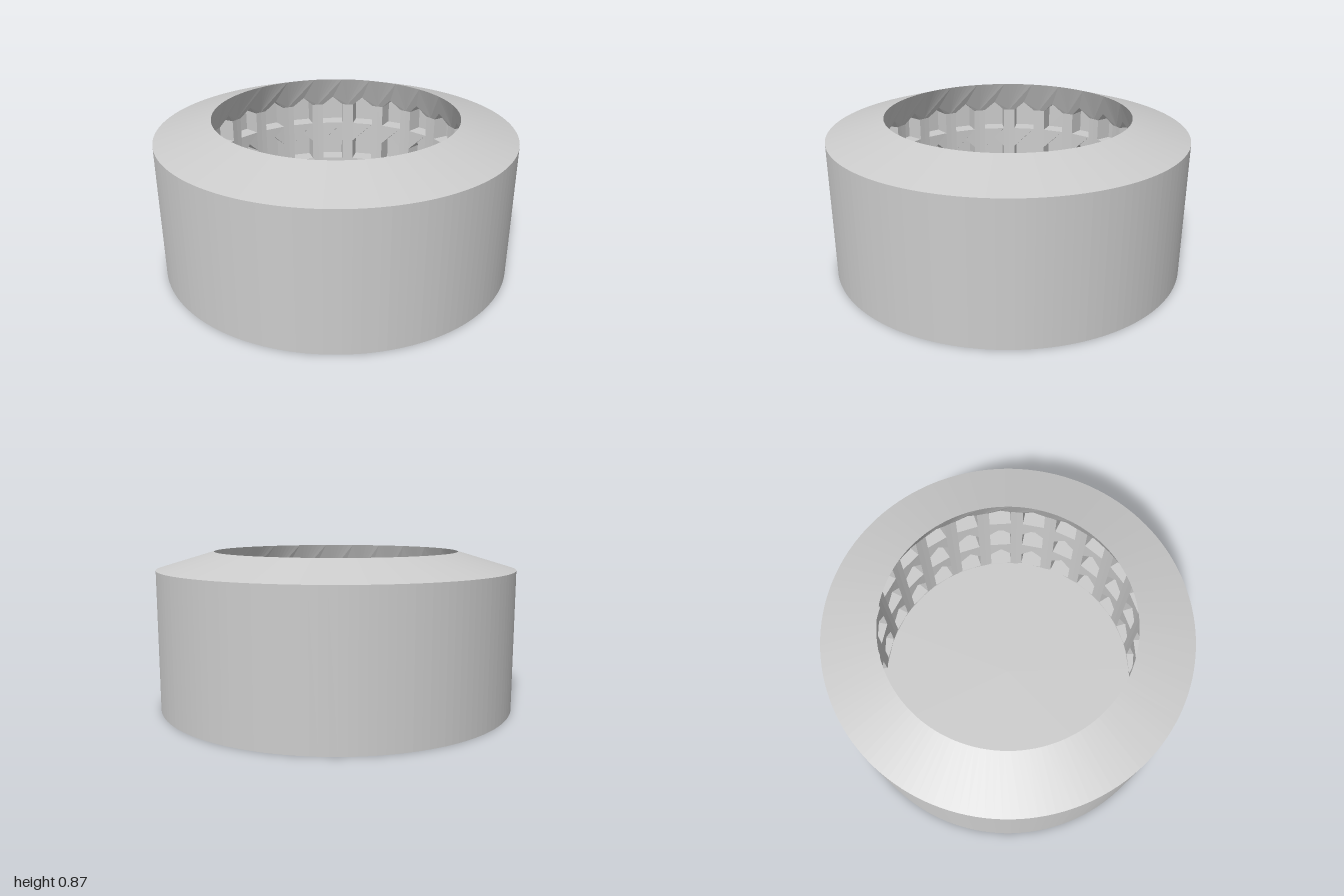
import * as THREE from 'three';

const BAYS = 24, STEP = (Math.PI * 2) / BAYS, SEGMENTS = BAYS * 6;
const FLOOR = 0.02, WALL_TOP = 0.67, SHOULDER_Y = 0.77, TOP = 0.865;
const WALL_R = 0.77, MOUTH_R = 0.685, POCKET_R = 0.87;
const HALF = (WALL_R * STEP) / 2, POCKET_HALF = 0.065;
const SILLS = [0.03, 0.285, 0.54], SIDE_H = 0.13, PEAK_H = 0.19;

const material = new THREE.MeshStandardMaterial({ color: 0xcccccc, flatShading: true, side: THREE.DoubleSide });

// Inner radius: straight wall, then a lip leaning in to the mouth
const innerRadius = (y) =>
  y <= WALL_TOP ? WALL_R : THREE.MathUtils.mapLinear(y, WALL_TOP, TOP, WALL_R, MOUTH_R);

// Wraps a flat (u, y) point onto the inner surface, mirrored so faces look inward
function wrap(u, y) {
  const a = -u / WALL_R, r = innerRadius(y);
  return new THREE.Vector3(r * Math.sin(a), y, r * Math.cos(a));
}

// Pointed-arch outline of one pocket
const pocketOutline = (sill) => [
  [-POCKET_HALF, sill], [POCKET_HALF, sill], [POCKET_HALF, sill + SIDE_H],
  [0, sill + PEAK_H], [-POCKET_HALF, sill + SIDE_H],
];

const toPoints = (list) => list.map(([u, y]) => new THREE.Vector2(u, y));

// Row of points along a bay edge, so curved edges stay round
const edge = (y, from, to) =>
  Array.from({ length: 7 }, (_, i) => [THREE.MathUtils.lerp(from, to, i / 6), y]);

function panel(outline, holes = []) {
  const shape = new THREE.Shape(toPoints(outline));
  holes.forEach((h) => shape.holes.push(new THREE.Path(toPoints(h))));
  const geo = new THREE.ShapeGeometry(shape);
  const pos = geo.attributes.position;
  for (let i = 0; i < pos.count; i++) {
    const p = wrap(pos.getX(i), pos.getY(i));
    pos.setXYZ(i, p.x, p.y, p.z);
  }
  geo.computeVertexNormals();
  return geo;
}

// Pocket lining: sides, sill and pointed roof, closed by a flat back
function pocket(sill) {
  const outline = pocketOutline(sill), n = outline.length;
  const front = outline.map(([u, y]) => wrap(u, y));
  const back = front.map((p) => new THREE.Vector3(p.x, p.y, POCKET_R));
  const index = [];
  for (let i = 0; i < n; i++) {
    const j = (i + 1) % n;
    index.push(i, j, n + j, i, n + j, n + i);
    if (i > 0 && i < n - 1) index.push(n, n + i, n + i + 1);
  }
  const geo = new THREE.BufferGeometry().setFromPoints([...front, ...back]);
  geo.setIndex(index);
  const flat = geo.toNonIndexed();
  flat.computeVertexNormals();
  return flat;
}

export function createModel() {
  const model = new THREE.Group();
  const add = (name, geo, parent = model) => {
    const mesh = new THREE.Mesh(geo, material);
    mesh.name = name;
    parent.add(mesh);
    return mesh;
  };

  // Outer body: flat base, straight side and sloping top
  const profile = [[0, 0], [1, 0], [1, SHOULDER_Y], [MOUTH_R, TOP]];
  add('outerBody', new THREE.LatheGeometry(toPoints(profile), SEGMENTS));

  // Inside floor
  const floor = add('floor', new THREE.CircleGeometry(WALL_R, SEGMENTS));
  floor.rotation.x = -Math.PI / 2;
  floor.position.y = FLOOR;

  // Wall panel: two rows of holes, the top row open to the lip
  const wallGeo = panel([
    ...edge(FLOOR, -HALF, HALF), [HALF, WALL_TOP], [POCKET_HALF, WALL_TOP],
    [POCKET_HALF, SILLS[2]], [-POCKET_HALF, SILLS[2]],
    [-POCKET_HALF, WALL_TOP], [-HALF, WALL_TOP],
  ], [pocketOutline(SILLS[0]), pocketOutline(SILLS[1])]);

  // Lip panel: notched by the point of the top pocket
  const lipGeo = panel([
    [-HALF, WALL_TOP], [-POCKET_HALF, WALL_TOP], [0, SILLS[2] + PEAK_H],
    [POCKET_HALF, WALL_TOP], [HALF, WALL_TOP], ...edge(TOP, HALF, -HALF),
  ]);
  const pocketGeos = SILLS.map(pocket);

  // Repeat the bay around the inside
  for (let k = 0; k < BAYS; k++) {
    const bay = new THREE.Group();
    bay.name = 'pocketBay';
    bay.rotation.y = (k + 0.5) * STEP;
    add('innerWall', wallGeo, bay);
    add('innerLip', lipGeo, bay);
    pocketGeos.forEach((g) => add('pocket', g, bay));
    model.add(bay);
  }
  return model;
}
